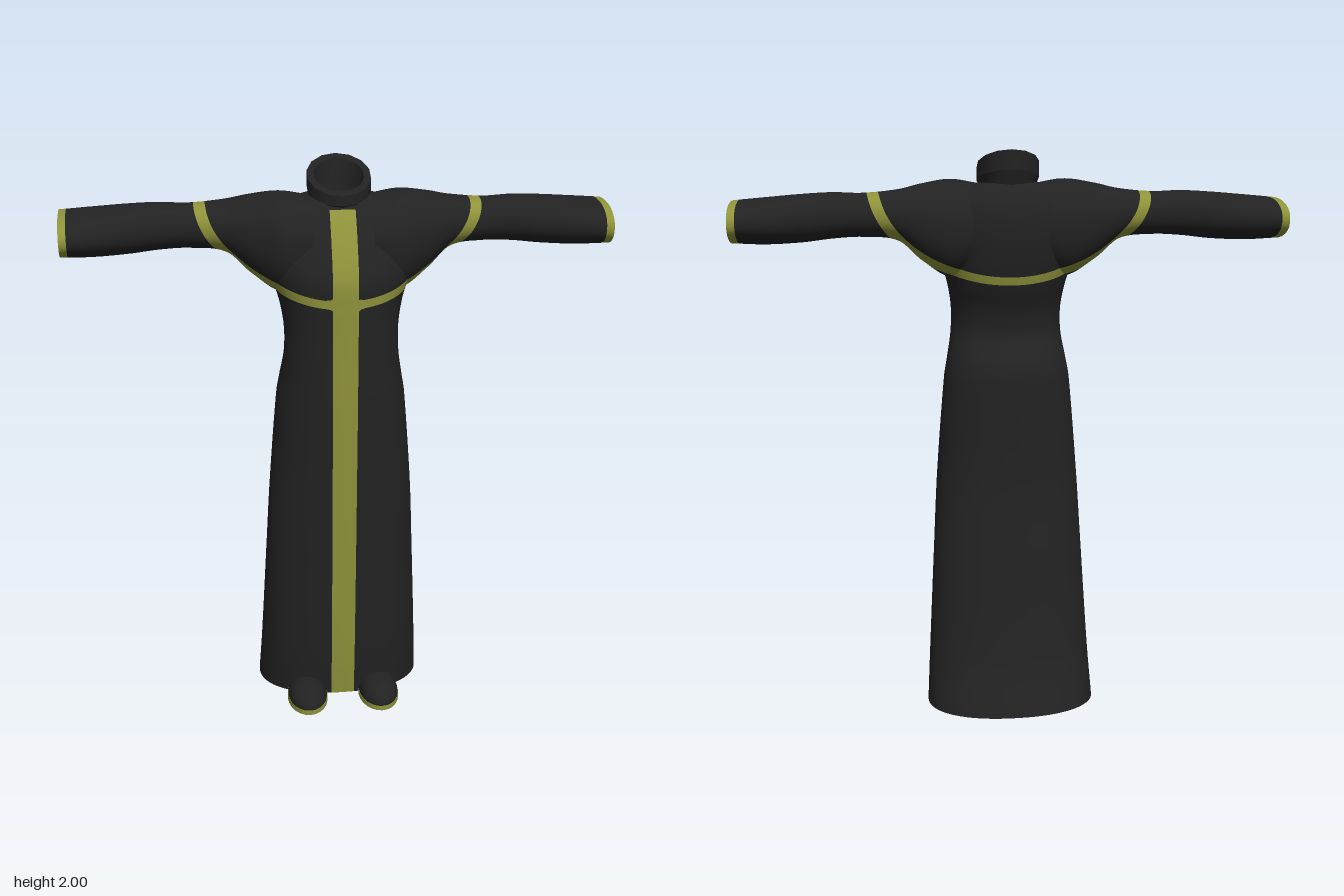
import * as THREE from 'three';

const cloth = new THREE.MeshStandardMaterial({ color: 0x222222 });
cloth.name = 'black cloth';
const trim = new THREE.MeshStandardMaterial({ color: 0x8f933a });
trim.name = 'olive gold trim';

// Smooth interpolation of table rows [t, a, b, ...]
function sample(rows, t) {
  let i = 0;
  while (i < rows.length - 2 && t > rows[i + 1][0]) i++;
  const p = rows[i], q = rows[i + 1], h = q[0] - p[0], s = (t - p[0]) / h;
  const o = rows[Math.max(i - 1, 0)], r = rows[Math.min(i + 2, rows.length - 1)];
  return p.slice(1).map((a, k) => {
    const b = q[k + 1];
    const m0 = (b - o[k + 1]) / (q[0] - o[0]) * h, m1 = (r[k + 1] - a) / (r[0] - p[0]) * h;
    const s2 = s * s, s3 = s2 * s;
    return (2 * s3 - 3 * s2 + 1) * a + (s3 - 2 * s2 + s) * m0 + (3 * s2 - 2 * s3) * b + (s3 - s2) * m1;
  });
}

// Closed tube of cross-sections: fn(angle, v) gives a point
function surface(fn, around, along, flip = false) {
  const pos = [], idx = [];
  for (let j = 0; j <= along; j++)
    for (let i = 0; i < around; i++) pos.push(...fn(i / around * Math.PI * 2, j / along));
  for (let j = 0; j < along; j++)
    for (let i = 0; i < around; i++) {
      const k = (i + 1) % around, a = j * around + i, b = j * around + k, c = b + around, d = a + around;
      if (flip) idx.push(a, c, b, a, d, c);
      else idx.push(a, b, c, a, c, d);
    }
  const g = new THREE.BufferGeometry();
  g.setAttribute('position', new THREE.Float32BufferAttribute(pos, 3));
  g.setIndex(idx);
  g.computeVertexNormals();
  return g;
}

function mesh(name, geo, mat) {
  const m = new THREE.Mesh(geo, mat);
  m.name = name;
  return m;
}

// Cuts a surface along inside(x, y, z) = 0 into a cloth mesh and a trim mesh
function paint(name, geo, inside) {
  const P = geo.attributes.position, N = geo.attributes.normal, I = geo.index;
  const vert = i => {
    const p = [P.getX(i), P.getY(i), P.getZ(i)];
    return { v: [...p, N.getX(i), N.getY(i), N.getZ(i)], d: inside(...p) };
  };
  const clip = (tri, sign) => {
    const out = [];
    tri.forEach((a, k) => {
      const b = tri[(k + 1) % 3];
      if (a.d * sign >= 0) out.push(a.v);
      if (a.d * b.d < 0) {
        const t = a.d / (a.d - b.d);
        out.push(a.v.map((x, n) => x + (b.v[n] - x) * t));
      }
    });
    return out;
  };
  const group = new THREE.Group();
  group.name = name;
  for (const [sign, label, mat] of [[-1, 'Cloth', cloth], [1, 'Trim', trim]]) {
    const pos = [], nor = [];
    for (let i = 0; i < I.count; i += 3) {
      const poly = clip([0, 1, 2].map(k => vert(I.getX(i + k))), sign);
      for (let k = 1; k + 1 < poly.length; k++)
        for (const v of [poly[0], poly[k], poly[k + 1]]) {
          pos.push(...v.slice(0, 3));
          nor.push(...v.slice(3));
        }
    }
    const g = new THREE.BufferGeometry();
    g.setAttribute('position', new THREE.Float32BufferAttribute(pos, 3));
    g.setAttribute('normal', new THREE.Float32BufferAttribute(nor, 3));
    group.add(mesh(name + label, g, mat));
  }
  return group;
}

// Slightly squared circle
const soft = c => Math.sign(c) * Math.abs(c) ** 0.9;
// Rounded cape edge running over chest, shoulders and back
const capeEdge = (x, y) => 0.04 - Math.abs(Math.hypot(x / 0.49, (y - 1.9) / 0.355) - 0.96);

// Robe: height, half width, front z, back z
const robeRows = [
  [0.005, 0.305, 0.135, -0.26], [0.2, 0.293, 0.155, -0.2], [0.6, 0.27, 0.18, -0.145],
  [0.85, 0.255, 0.193, -0.118], [1.2, 0.225, 0.21, -0.116], [1.27, 0.213, 0.212, -0.104],
  [1.36, 0.198, 0.214, -0.066], [1.45, 0.196, 0.217, -0.074], [1.54, 0.21, 0.22, -0.11],
  [1.64, 0.24, 0.218, -0.132], [1.74, 0.255, 0.182, -0.14], [1.82, 0.235, 0.14, -0.13],
  [1.87, 0.17, 0.105, -0.105], [1.89, 0.095, 0.085, -0.085],
];
function robePoint(a, v) {
  const y = 0.005 + v * 1.885;
  const [w, f, b] = sample(robeRows, y);
  return [w * soft(Math.sin(a)), y, (f + b) / 2 + (f - b) / 2 * soft(Math.cos(a))];
}

// Sleeve: x, top y, bottom y, front z, back z
const sleeveRows = [
  [0.1, 1.885, 1.6, 0.17, -0.12], [0.2, 1.9, 1.565, 0.165, -0.13], [0.3, 1.886, 1.625, 0.115, -0.132],
  [0.38, 1.868, 1.695, 0.078, -0.13], [0.5, 1.857, 1.71, 0.054, -0.12], [0.6, 1.86, 1.706, 0.053, -0.13],
  [0.7, 1.855, 1.695, 0.067, -0.155], [0.82, 1.845, 1.69, 0.095, -0.185], [0.93, 1.835, 1.695, 0.122, -0.208],
];
const sleevePoint = s => (a, v) => {
  const x = 0.1 + v * 0.83;
  const [t, b, f, k] = sample(sleeveRows, x);
  const z = (f + k) / 2 + (f - k) / 2 * soft(Math.sin(a));
  return [s * (x - 0.055 * z * v), (t + b) / 2 + (t - b) / 2 * soft(Math.cos(a)), z];
};

// Tilted collar rings: radius, height, slope
const collarRings = [[0.092, 1.862, -0.15], [0.108, 1.9, -0.3], [0.108, 1.95, -0.45], [0.084, 1.95, -0.45], [0.07, 1.875, -0.1], [0, 1.87, 0]];
function collarPoint(ring, a) {
  const [r, y, slope] = ring, z = r * 1.05 * Math.cos(a);
  return [r * Math.sin(a), y + slope * z, z + 0.005];
}

export function createModel() {
  const model = new THREE.Group();
  model.name = 'robe';

  // Robe body with the front stripe and cape edge
  model.add(paint('robeBody', surface(robePoint, 96, 160), (x, y, z) =>
    Math.max(capeEdge(x, y), z > 0 && y < 1.865 ? 0.043 - Math.abs(x) : -1)));
  model.add(mesh('hemBase', surface((a, v) => {
    const [x, y, z] = robePoint(a, 0);
    return [x * v, y, -0.06 + (z + 0.06) * v];
  }, 96, 1), cloth));

  // Collar
  const collar = new THREE.Group();
  collar.name = 'collar';
  for (let k = 0; k + 1 < collarRings.length; k++)
    collar.add(mesh('collarBand', surface((a, v) => collarPoint(collarRings[k + v], a), 14, 1), cloth));
  model.add(collar);

  for (const s of [1, -1]) {
    const side = s > 0 ? 'left' : 'right', point = sleevePoint(s);

    // Flared sleeve with cuff trim and closed end
    model.add(paint(side + 'Sleeve', surface(point, 64, 90, s < 0), (x, y, z) =>
      Math.max(capeEdge(x, y), s * x + 0.055 * z - 0.905)));
    model.add(mesh(side + 'SleeveEnd', surface((a, v) => {
      const p = point(a, 1), c = [s * 0.932, 1.765, -0.043];
      return p.map((n, k) => n + (c[k] - n) * v);
    }, 64, 1, s < 0), cloth));

    // Shoe: domed upper on a thin sole
    const upper = mesh(side + 'Shoe', new THREE.SphereGeometry(1, 24, 8, 0, Math.PI * 2, 0, Math.PI / 2), cloth);
    upper.scale.set(0.073, 0.063, 0.115);
    upper.position.set(s * 0.135, 0.018, 0.147);
    const sole = mesh(side + 'Sole', new THREE.CylinderGeometry(1, 1, 1, 24), trim);
    sole.scale.set(0.075, 0.018, 0.117);
    sole.position.set(s * 0.135, 0.009, 0.147);
    model.add(upper, sole);
  }
  return model;
}
